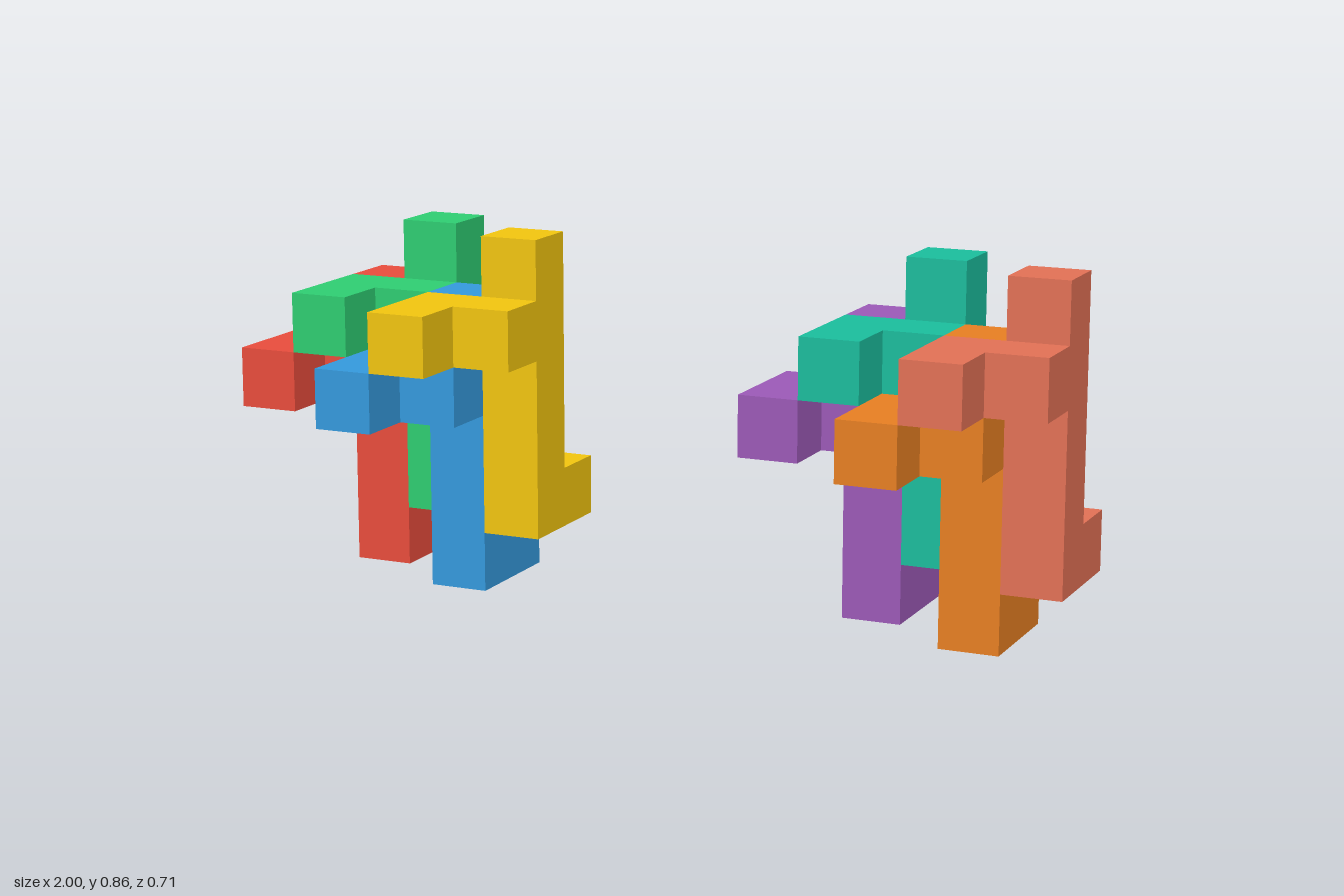
import * as THREE from 'three';

const U = 1 / 7; // edge of one cube cell

// side outline of a block: [z, y] in cells, column with rear foot and front stub
const OUTLINE = [
  [-1.5, 0], [0.5, 0], [0.5, 3], [1.5, 3], [1.5, 4], [0.5, 4],
  [0.5, 5], [-0.5, 5], [-0.5, 1], [-1.5, 1],
];

function createBlock(name, color) {
  const block = new THREE.Group();
  block.name = name;
  const material = new THREE.MeshStandardMaterial({ color });

  // column, foot and stub in one slab, one cell thick along x
  const shape = new THREE.Shape(OUTLINE.map(([z, y]) => new THREE.Vector2(z * U, y * U)));
  const slab = new THREE.ExtrudeGeometry(shape, { depth: U, bevelEnabled: false });
  slab.translate(0, 0, -U / 2).rotateY(-Math.PI / 2);
  const column = new THREE.Mesh(slab, material);
  column.name = 'columnWithFoot';

  // two-cell arm beside the stub, reaching forward
  const arm = new THREE.Mesh(new THREE.BoxGeometry(U, U, 2 * U), material);
  arm.position.set(-U, 3.5 * U, 1.5 * U);
  arm.name = 'arm';

  block.add(column, arm);
  return block;
}

// column cell of each block within a cluster (x, y, z)
const CELLS = [[1, 0, -1], [2, 1, -1], [3, 0, 0], [4, 1, 0]];

const CLUSTERS = [
  { name: 'rightCluster', start: 0, blocks: { redBlock: 0xe74c3c, greenBlock: 0x2ecc71, blueBlock: 0x3498db, yellowBlock: 0xf1c40f } },
  { name: 'leftCluster', start: 9, blocks: { purpleBlock: 0x9b59b6, tealBlock: 0x1abc9c, orangeBlock: 0xe67e22, terracottaBlock: 0xe17055 } },
];

export function createModel() {
  const model = new THREE.Group();
  model.name = 'interlockingBlocks';
  for (const { name, start, blocks } of CLUSTERS) {
    const cluster = new THREE.Group();
    cluster.name = name;
    cluster.position.x = (start - 6.5) * U;
    Object.entries(blocks).forEach(([blockName, color], i) => {
      const block = createBlock(blockName, color);
      block.position.fromArray(CELLS[i]).multiplyScalar(U);
      cluster.add(block);
    });
    model.add(cluster);
  }
  return model;
}
